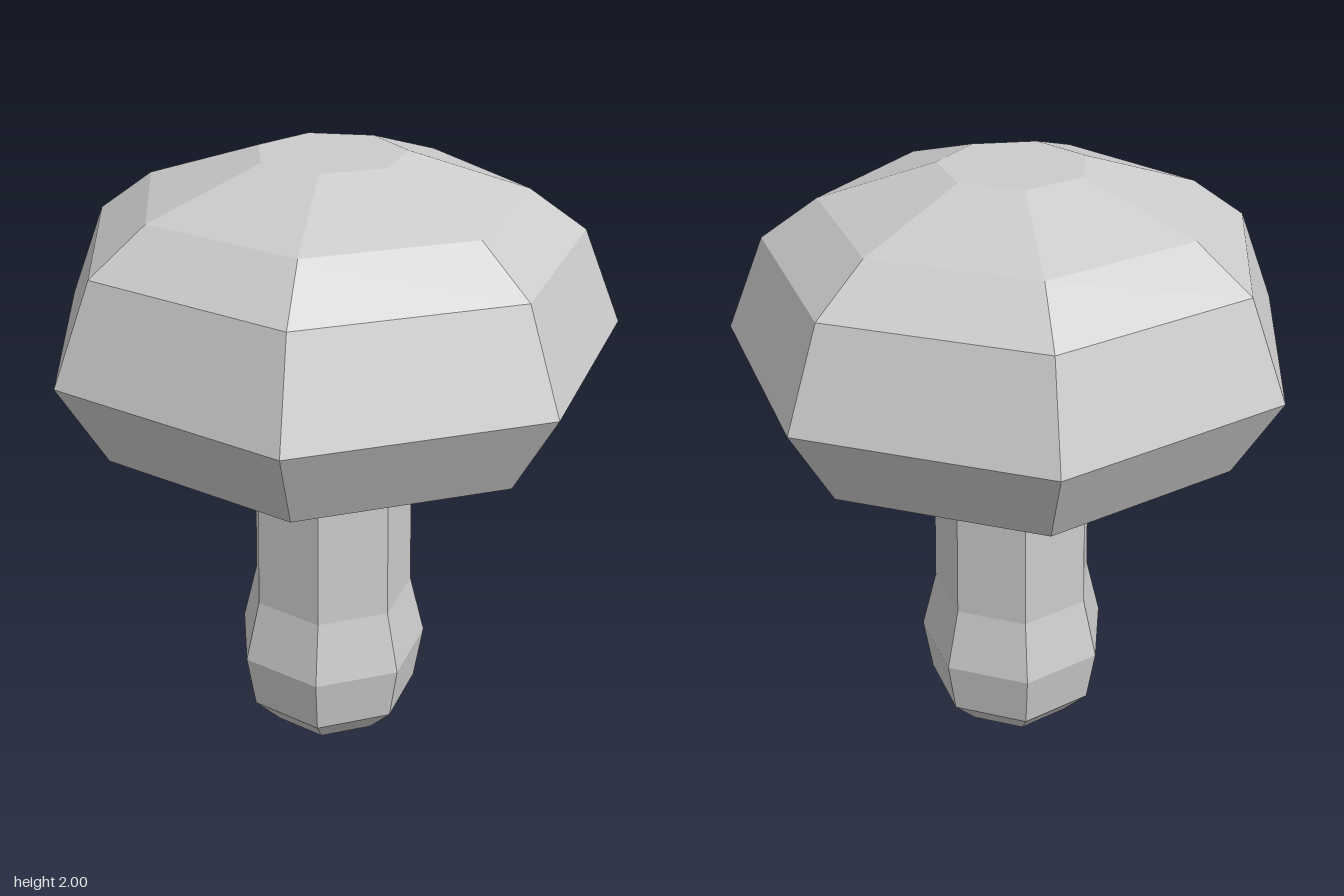
import * as THREE from 'three';

const SIDES = 7;

// Seven-sided faceted solid of revolution with one corner pointing backwards.
// The profile is a list of [radius, height], running from the underside up.
function facetedLathe(name, profile) {
  const points = profile.map(([r, y]) => new THREE.Vector2(r, y));
  const geometry = new THREE.LatheGeometry(points, SIDES, Math.PI);
  const material = new THREE.MeshStandardMaterial({ color: 0xcccccc, flatShading: true });
  const mesh = new THREE.Mesh(geometry, material);
  mesh.name = name;
  return mesh;
}

export function createModel() {
  const mushroom = new THREE.Group();
  mushroom.name = 'mushroom';

  // Stem with a bulging foot, running up into the hollow of the cap
  const stem = facetedLathe('stem', [
    [0, 0], [0.205, 0], [0.297, 0.1], [0.328, 0.29],
    [0.277, 0.5], [0.268, 1.0], [0.268, 1.42],
  ]);

  // Thin flared skirt around the stem
  const skirt = facetedLathe('skirt', [
    [0.26, 1.0], [0.37, 0.995], [0.27, 1.06],
  ]);

  // Cap: hollow underside, overhanging rim, domed crown with a flat top
  const cap = facetedLathe('cap', [
    [0, 1.42], [0.25, 1.42], [0.38, 1.28], [0.769, 1.16],
    [0.923, 1.43], [0.795, 1.74], [0.61, 1.875], [0.236, 2], [0, 2],
  ]);

  mushroom.add(stem, skirt, cap);
  // Seven sides are deeper at the back, so shift to centre the bounds
  mushroom.position.z = 0.045;

  const model = new THREE.Group();
  model.add(mushroom);
  return model;
}
